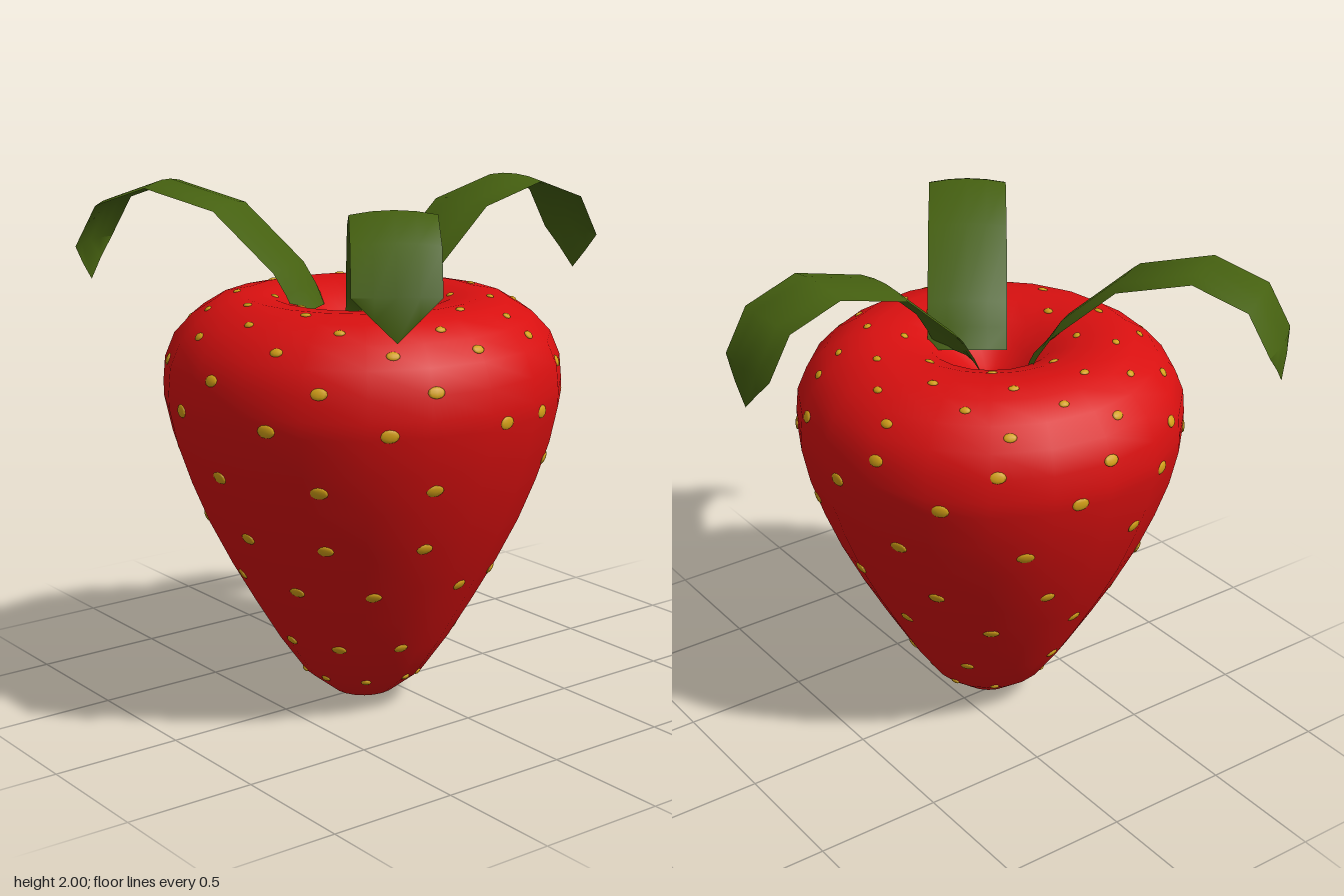
import * as THREE from 'three';

const CENTRE = new THREE.Vector3(0.045, 0, 0.156);
const SIDES = 20;
const STEP = (Math.PI * 2) / SIDES;

// Fruit outline as [radius, height], from the tip over the shoulder into the dimple
const PROFILE = [
  [0, 0.005], [0.12, 0.04], [0.235, 0.13], [0.34, 0.28], [0.435, 0.44], [0.525, 0.6],
  [0.61, 0.77], [0.675, 0.93], [0.725, 1.08], [0.755, 1.22], [0.755, 1.28], [0.747, 1.37],
  [0.71, 1.46], [0.64, 1.535], [0.55, 1.59], [0.45, 1.61], [0.34, 1.6], [0.24, 1.565],
  [0.15, 1.5], [0.07, 1.44], [0, 1.42],
];

// Seed rows on the flank: height, seed size, angles in degrees from the front
const FLANK_ROWS = [
  [1.5, 0.8, [-82, -46, -10, 26, 62, 90, 118, 157, 200, 240]],
  [1.38, 1, [-59, -28, 6, 41, 73, 130, 165, 200, 236, 270]],
  [1.235, 1.1, [-67, -39, -9, 26, 60, 96, 113, 146, 185, 220, 260]],
  [1.015, 1.1, [-75, -38, 5, 40, 74, 127, 163, 205, 245]],
  [0.775, 1, [-54, -25, 9, 40, 74, 145, 180, 215, 255]],
  [0.57, 1, [-51, -12, 24, 57, 98, 125, 155, 195, 235, 275]],
  [0.31, 0.9, [-80, -37, 3, 38, 76, 136, 175, 220]],
  [0.14, 0.6, [-60, -17, 16, 55, 95, 113, 160, 200, 240]],
];

// Seed rows on the crown: radius, number of seeds, first angle
const CROWN_ROWS = [[0.59, 10, 9], [0.485, 10, -8], [0.33, 8, 10]];

// Leaf spine as [distance outwards, height]; the last entry is the pointed end
const SPINE = [
  [0, 1.53], [0.04, 1.61], [0.09, 1.69], [0.33, 1.91], [0.61, 1.985], [0.82, 1.91], [0.91, 1.75], [0.91, 1.6],
];

// Point and outward normal where the outline reaches a radius (axis 0) or height (axis 1)
function onProfile(axis, value, start) {
  for (let i = start; i < PROFILE.length - 1; i++) {
    const a = PROFILE[i], b = PROFILE[i + 1];
    if ((a[axis] - value) * (b[axis] - value) <= 0) {
      const t = (value - a[axis]) / (b[axis] - a[axis]);
      return {
        r: a[0] + (b[0] - a[0]) * t,
        y: a[1] + (b[1] - a[1]) * t,
        normal: new THREE.Vector2(b[1] - a[1], a[0] - b[0]).normalize(),
      };
    }
  }
  return null;
}

function makeSeed(geometry, material, spot, degrees, size) {
  const angle = THREE.MathUtils.degToRad(degrees);
  const local = THREE.MathUtils.euclideanModulo(angle, STEP) - STEP / 2;
  const r = (spot.r * Math.cos(STEP / 2)) / Math.cos(local); // sit on the faceted ring
  const seed = new THREE.Mesh(geometry, material);
  seed.name = 'seed';
  seed.position.set(Math.sin(angle) * r, spot.y, Math.cos(angle) * r);
  seed.rotation.order = 'YXZ';
  seed.rotation.set(-Math.atan2(spot.normal.y, spot.normal.x), angle, 0);
  seed.scale.set(0.032 * size, 0.022 * size, 0.008);
  return seed;
}

// Thin arched strip running along +z, bowed across its width and pointed at the end
function leafGeometry() {
  const columns = 4, halfWidth = 0.153, last = SPINE.length - 1;
  const positions = [], index = [];
  SPINE.forEach(([z, y], i) => {
    const before = SPINE[Math.max(i - 1, 0)], after = SPINE[Math.min(i + 1, last)];
    const normal = new THREE.Vector2(before[1] - after[1], after[0] - before[0]).normalize();
    for (let j = 0; j <= columns; j++) {
      const u = (j / columns) * 2 - 1;
      const bow = (1 - u * u) * (i === 0 ? 0.035 : 0.016);
      const height = i === last ? THREE.MathUtils.lerp(y, SPINE[last - 1][1], Math.abs(u)) : y;
      positions.push(u * halfWidth, height + normal.y * bow, z + normal.x * bow);
      if (i < last && j < columns) {
        const a = i * (columns + 1) + j, b = a + columns + 1;
        index.push(a, b, a + 1, b, b + 1, a + 1);
      }
    }
  });
  const geometry = new THREE.BufferGeometry();
  geometry.setAttribute('position', new THREE.Float32BufferAttribute(positions, 3));
  geometry.setIndex(index);
  geometry.computeVertexNormals();
  return geometry;
}

export function createModel() {
  const red = new THREE.MeshStandardMaterial({ color: 0xd81010 });
  red.name = 'fruit red';
  const green = new THREE.MeshStandardMaterial({ color: 0x456010, side: THREE.DoubleSide });
  green.name = 'leaf green';
  const yellow = new THREE.MeshStandardMaterial({ color: 0xd4a017 });
  yellow.name = 'seed yellow';

  const model = new THREE.Group();
  model.name = 'strawberry';

  // Fruit
  const outline = PROFILE.map(([r, y]) => new THREE.Vector2(r, y));
  const fruit = new THREE.Mesh(new THREE.LatheGeometry(outline, SIDES), red);
  fruit.name = 'fruit';
  fruit.position.copy(CENTRE);
  model.add(fruit);

  // Seeds
  const seeds = new THREE.Group();
  seeds.name = 'seeds';
  seeds.position.copy(CENTRE);
  const seedShape = new THREE.SphereGeometry(1, 8, 6);
  for (const [y, size, angles] of FLANK_ROWS) {
    const spot = onProfile(1, y, 0);
    for (const angle of angles) seeds.add(makeSeed(seedShape, yellow, spot, angle, size));
  }
  for (const [r, count, first] of CROWN_ROWS) {
    const spot = onProfile(0, r, 10);
    for (let i = 0; i < count; i++) {
      seeds.add(makeSeed(seedShape, yellow, spot, first + (i * 360) / count, 0.65));
    }
  }
  model.add(seeds);

  // Leaves: base position and heading in degrees from the front
  const leafShape = leafGeometry();
  const leaves = [
    ['backLeaf', 0.047, 0.01, 180],
    ['leftLeaf', 0.107, 0.091, 54.5],
    ['rightLeaf', -0.116, 0.279, -57],
  ];
  for (const [name, x, z, heading] of leaves) {
    const leaf = new THREE.Mesh(leafShape, green);
    leaf.name = name;
    leaf.position.set(x, 0, z);
    leaf.rotation.y = THREE.MathUtils.degToRad(heading);
    model.add(leaf);
  }
  return model;
}
